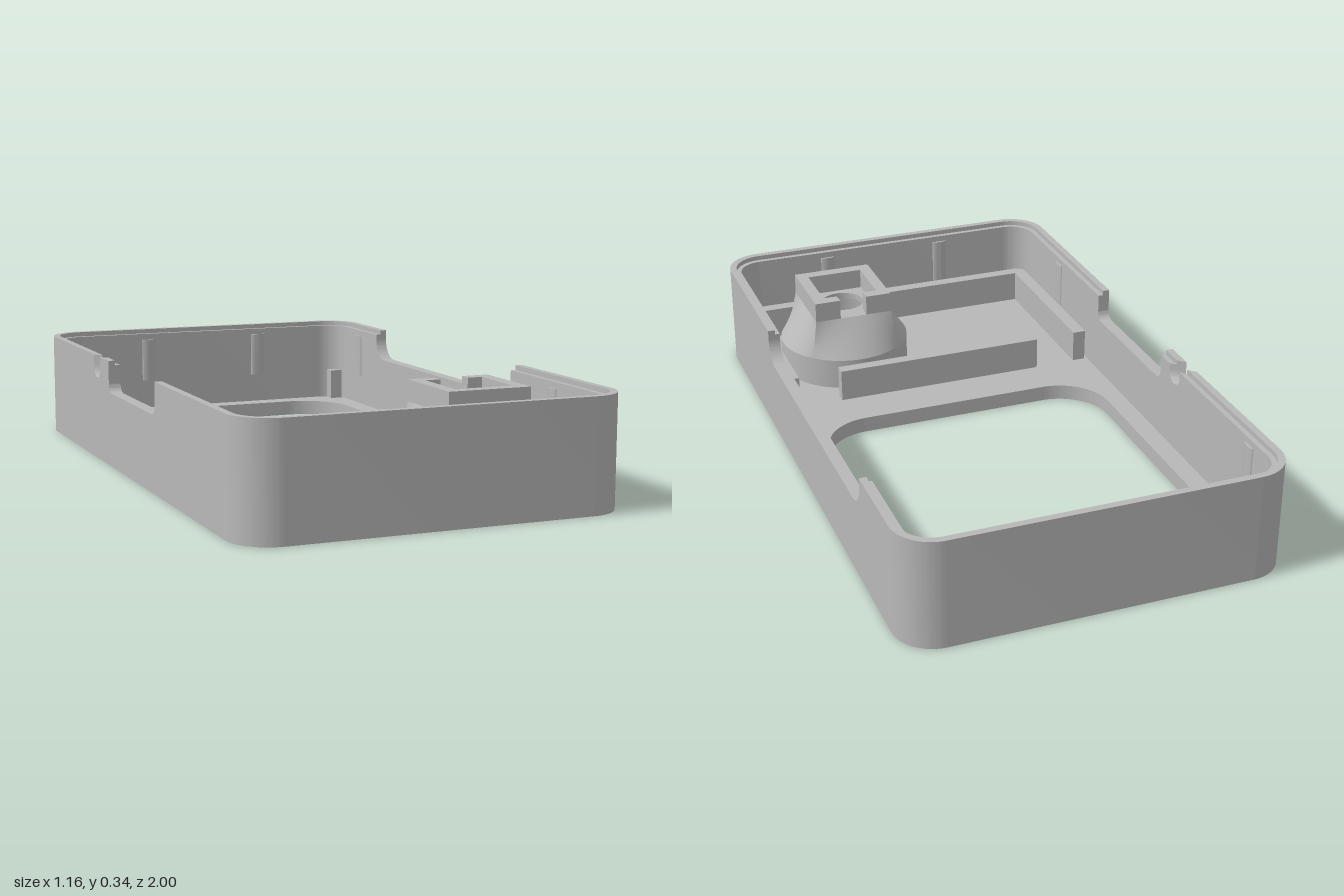
import * as THREE from 'three';
import { toCreasedNormals } from 'three/addons/utils/BufferGeometryUtils.js';

const W = 0.578, L = 1, R = 0.12;        // outer half width, half length, corner radius
const TOP = 0.335, STEP = 0.32, FLOOR = 0.05;
const LIP = 0.022, WALL = 0.038;         // lip and full wall thickness
const CX = W - R, CZ = L - R;            // corner arc centres

export function createModel() {
  const group = new THREE.Group();
  const grey = new THREE.MeshStandardMaterial({ color: 0xb8b8b8, side: THREE.DoubleSide });
  grey.name = 'plain grey';

  const add = (name, geo, parent = group) => {
    const mesh = new THREE.Mesh(toCreasedNormals(geo, 0.5), grey);
    mesh.name = name;
    parent.add(mesh);
    return mesh;
  };
  // Shape drawn in x/z, extruded from y0 up to y1
  const slab = (shape, y0, y1) =>
    new THREE.ExtrudeGeometry(shape, { depth: y1 - y0, bevelEnabled: false, curveSegments: 16 })
      .rotateX(Math.PI / 2).translate(0, y1, 0);
  const box = (name, x0, x1, y0, y1, z0, z1) =>
    add(name, new THREE.BoxGeometry(x1 - x0, y1 - y0, z1 - z0)
      .translate((x0 + x1) / 2, (y0 + y1) / 2, (z0 + z1) / 2));
  const roundRect = (path, x0, x1, z0, z1, r) => {
    path.moveTo(x1, z0 + r);
    path.absarc(x1 - r, z1 - r, r, 0, Math.PI / 2);
    path.absarc(x0 + r, z1 - r, r, Math.PI / 2, Math.PI);
    path.absarc(x0 + r, z0 + r, r, Math.PI, Math.PI * 1.5);
    path.absarc(x1 - r, z0 + r, r, Math.PI * 1.5, Math.PI * 2);
    return path;
  };

  // U-shaped end wall with two rounded corners, between two inward offsets
  const endWall = (o0, o1, top) => {
    const s = new THREE.Shape();
    s.moveTo(W - o0, CZ);
    s.absarc(CX, CZ, R - o0, 0, Math.PI / 2);
    s.absarc(-CX, CZ, R - o0, Math.PI / 2, Math.PI);
    s.lineTo(-(W - o1), CZ);
    s.absarc(-CX, CZ, R - o1, Math.PI, Math.PI / 2, true);
    s.absarc(CX, CZ, R - o1, Math.PI / 2, 0, true);
    return slab(s, 0, top);
  };

  // Long side wall with a round-cornered cut-out and an optional slanted cable slot
  const sideWall = (xMin, xMax, top, z0, z1, r, slot) => {
    const yb = 0.235, s = new THREE.Shape();
    s.moveTo(-CZ, 0);
    s.lineTo(CZ, 0);
    s.lineTo(CZ, top);
    s.lineTo(z1, top);
    s.absarc(z1 - r, yb + r, r, 0, -Math.PI / 2, true);
    s.absarc(z0 + r, yb + r, r, -Math.PI / 2, -Math.PI, true);
    s.lineTo(z0, top);
    if (slot) {
      s.lineTo(-0.26, top);
      s.absarc(-0.295, 0.3, 0.035, 0, -Math.PI, true);
      s.lineTo(-0.33, top);
    }
    s.lineTo(-CZ, top);
    const geo = new THREE.ExtrudeGeometry(s, { depth: xMax - xMin, bevelEnabled: false, curveSegments: 12 })
      .rotateY(-Math.PI / 2).translate(xMax, 0, 0);
    if (slot) {
      const p = geo.attributes.position;
      for (let i = 0; i < p.count; i++) {
        if (Math.abs(p.getZ(i) + 0.295) < 0.04 && p.getY(i) > 0.26) {
          p.setZ(i, p.getZ(i) + p.getX(i) + W - WALL);
        }
      }
    }
    return geo;
  };

  // Walls: a tall outer lip and a slightly lower inner layer
  for (const [name, o0, o1, top] of [['outerLip', 0, LIP, TOP], ['innerWall', LIP, WALL, STEP]]) {
    add(name + 'Front', endWall(o0, o1, top));
    add(name + 'Back', endWall(o0, o1, top).rotateY(Math.PI));
    add(name + 'Left', sideWall(W - o1, W - o0, top, -0.62, 0.37, 0.07, false));
    add(name + 'Right', sideWall(-W + o0, -W + o1, top, -0.2, 0.28, 0.03, true));
  }

  // Floor with the large window and the round opening
  const PX = 0.25, PZ = 0.645;
  const floor = roundRect(new THREE.Shape(), -W + WALL, W - WALL, -L + WALL, L - WALL, R - WALL);
  floor.holes.push(roundRect(new THREE.Path(), -0.477, 0.473, -0.897, 0.21, 0.165));
  floor.holes.push(new THREE.Path().absarc(PX, PZ, 0.143, 0, Math.PI * 2));
  add('floor', slab(floor, 0, FLOOR));

  // Raised housing over the round opening
  const housing = new THREE.Group();
  housing.name = 'roundHousing';
  housing.position.set(PX, 0, PZ);
  group.add(housing);
  const H = 0.13, RIM = 0.15, SEAT = 0.27;
  add('housingBase', new THREE.CylinderGeometry(0.215, 0.215, RIM - FLOOR, 64, 1, true)
    .translate(0, (RIM + FLOOR) / 2, 0), housing);

  // Transition from the round base to the square seat
  const loft = new THREE.CylinderGeometry(0.215, 0.215, SEAT - RIM, 64, 4, true)
    .translate(0, (SEAT + RIM) / 2, 0);
  const p = loft.attributes.position;
  for (let i = 0; i < p.count; i++) {
    const x = p.getX(i), z = p.getZ(i), t = (p.getY(i) - RIM) / (SEAT - RIM);
    const k = 1 + t * (H / Math.max(Math.abs(x), Math.abs(z)) - 1);
    p.setX(i, x * k);
    p.setZ(i, z * k);
  }
  add('housingTaper', loft, housing);

  const seat = new THREE.Shape([[-H, -H], [H, -H], [H, H], [-H, H]].map(a => new THREE.Vector2(...a)));
  seat.holes.push(new THREE.Path().absarc(0, 0, 0.07, 0, Math.PI * 2));
  add('housingSeat', slab(seat, 0.25, SEAT), housing);

  // Square collar with a gap at the back
  const I = 0.092, G = 0.045;
  const collar = new THREE.Shape([[G, -H], [H, -H], [H, H], [-H, H], [-H, -H], [-G, -H],
    [-G, -I], [-I, -I], [-I, I], [I, I], [I, -I], [G, -I]].map(a => new THREE.Vector2(...a)));
  add('squareCollar', slab(collar, SEAT, TOP), housing);

  // Hollow inside of the housing
  add('housingCavity', new THREE.LatheGeometry(
    [[0.143, FLOOR], [0.13, FLOOR], [0.13, 0.25], [0.07, 0.25]].map(a => new THREE.Vector2(...a)), 48), housing);

  // Ribs standing on the floor
  const RIB = 0.155;
  box('crossRib', -0.35, 0.345, FLOOR, RIB, 0.355, 0.392);
  box('frontRib', -0.53, 0.53, FLOOR, RIB, 0.905, 0.945);
  for (const s of [-1, 1]) {
    const [a, b] = s < 0 ? [-0.53, -0.487] : [0.487, 0.53];
    box('sideRib', a, b, FLOOR, RIB, 0.36, 0.905);
    box('cornerPost', a, b, FLOOR, RIB, -0.95, -0.91);
  }

  // Shallow snap bumps on the inner walls
  const bump = (x, z, alongX) => {
    const geo = new THREE.CylinderGeometry(1, 1, 0.15, 16)
      .scale(alongX ? 0.025 : 0.008, 1, alongX ? 0.008 : 0.025).translate(x, 0.225, z);
    add('snapBump', geo);
  };
  for (const s of [-1, 1]) {
    for (const x of [-0.21, 0.21]) bump(x, s * (L - WALL), true);
    bump(s * (W - WALL), -0.775, false);
    bump(s * (W - WALL), 0.62, false);
  }
  return group;
}
